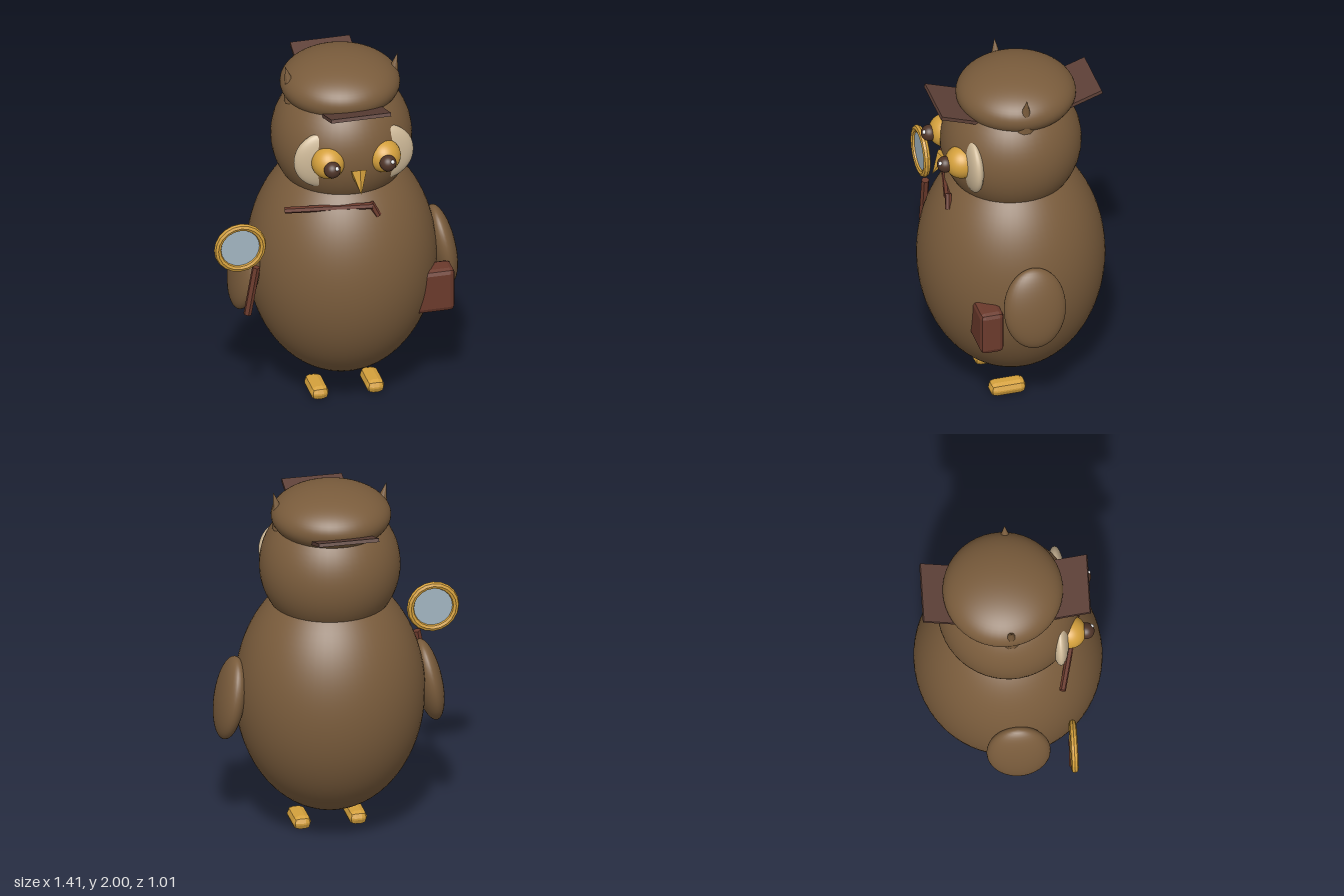
import * as THREE from 'three';
import { RoundedBoxGeometry } from 'three/addons/geometries/RoundedBoxGeometry.js';

const mat = (name, color) => {
  const m = new THREE.MeshStandardMaterial({ color });
  m.name = name;
  return m;
};

// faceted normals for the low-poly props
const faceted = (geo) => {
  const g = geo.index ? geo.toNonIndexed() : geo;
  g.computeVertexNormals();
  return g;
};

export function createModel() {
  const brown = mat('feather brown', 0x7a5c3c);
  const cream = mat('cream', 0xcdb897);
  const gold = mat('gold', 0xd4a03c);
  const pupilBrown = mat('pupil brown', 0x4e3428);
  const white = mat('white', 0xffffff);
  const capBrown = mat('cap brown', 0x5d4037);
  const leather = mat('red leather', 0x6b3a2c);
  const glass = mat('glass', 0xa3b6c2);

  const CX = 0.072; // mid-plane of the bird
  const model = new THREE.Group();
  model.name = 'owl';

  const add = (name, geo, material, x, y, z) => {
    const mesh = new THREE.Mesh(geo, material);
    mesh.name = name;
    mesh.position.set(x, y, z);
    model.add(mesh);
    return mesh;
  };
  const ball = (name, material, x, y, z, rx, ry = rx, rz = rx, seg = 32) => {
    const mesh = add(name, new THREE.SphereGeometry(1, seg, Math.round(seg * 0.75)), material, x, y, z);
    mesh.scale.set(rx, ry, rz);
    return mesh;
  };
  // tapered rod from point a to point b
  const rod = (name, material, a, b, r0, r1, sides) => {
    const from = new THREE.Vector3(...a), to = new THREE.Vector3(...b);
    const dir = to.clone().sub(from);
    const geo = faceted(new THREE.CylinderGeometry(r1, r0, dir.length(), sides));
    const mid = from.add(to).multiplyScalar(0.5);
    const mesh = add(name, geo, material, mid.x, mid.y, mid.z);
    mesh.quaternion.setFromUnitVectors(new THREE.Vector3(0, 1, 0), dir.normalize());
    return mesh;
  };

  // body, head and rounded cap
  ball('body', brown, CX, 0.805, 0, 0.512, 0.675, 0.507, 64);
  ball('head', brown, CX, 1.54, 0, 0.38, 0.38, 0.38, 48);
  ball('cap', brown, CX, 1.84, -0.028, 0.323, 0.16, 0.323, 48);

  // upturned cap brims at front and back
  for (const [name, s, z] of [['frontBrim', 1, 0.315], ['backBrim', -1, -0.345]]) {
    const brim = add(name, new THREE.BoxGeometry(0.33, 0.02, 0.25), capBrown, CX, 1.816, z);
    brim.rotation.x = -s * 0.33;
  }

  // paired parts
  for (const [side, s] of [['left', 1], ['right', -1]]) {
    const wing = ball(side + 'Wing', brown, CX + s * 0.545, 0.796, 0.025, 0.074, 0.233, 0.172);
    wing.rotation.z = s * 0.177;

    rod(side + 'Ear', brown, [CX + s * 0.262, 1.78, 0], [CX + s * 0.31, 1.98, 0], 0.055, 0.001, 10);

    // face disc, eye, pupil and glint
    ball(side + 'FaceDisc', cream, CX + s * 0.167, 1.54, 0.267, 0.164, 0.164, 0.05);
    const ex = CX + s * 0.154;
    ball(side + 'Eye', gold, ex, 1.548, 0.32, 0.091);
    ball(side + 'Pupil', pupilBrown, ex, 1.548, 0.41, 0.045);
    ball(side + 'Glint', white, ex + 0.016, 1.568, 0.441, 0.012, 0.012, 0.012, 12);

    add(side + 'Foot', faceted(new RoundedBoxGeometry(0.1, 0.077, 0.2, 1, 0.034)), gold, ex, 0.0385, 0.066);
  }

  // beak pointing down and forward
  rod('beak', gold, [CX, 1.5, 0.37], [CX, 1.39, 0.437], 0.047, 0.0005, 6);

  // pipe at the collar: long stem and short bent end
  rod('pipeStem', leather, [-0.31, 1.257, 0.27], [0.15, 1.281, 0.378], 0.018, 0.018, 6);
  rod('pipeEnd', leather, [0.142, 1.293, 0.368], [0.18, 1.218, 0.38], 0.018, 0.018, 6);

  // bevelled case held by the left wing
  add('case', faceted(new RoundedBoxGeometry(0.25, 0.254, 0.132, 1, 0.028)), leather, 0.497, 0.67, 0.259);

  // magnifying glass
  add('lensRing', faceted(new THREE.TorusGeometry(0.124, 0.02, 8, 20)), gold, -0.568, 1.088, 0.315);
  const lens = add('lens', new THREE.CylinderGeometry(0.115, 0.115, 0.009, 32), glass, -0.568, 1.088, 0.315);
  lens.rotation.x = Math.PI / 2;
  rod('lensHandle', leather, [-0.527, 0.676, 0.315], [-0.479, 0.957, 0.315], 0.022, 0.022, 6);

  return model;
}
